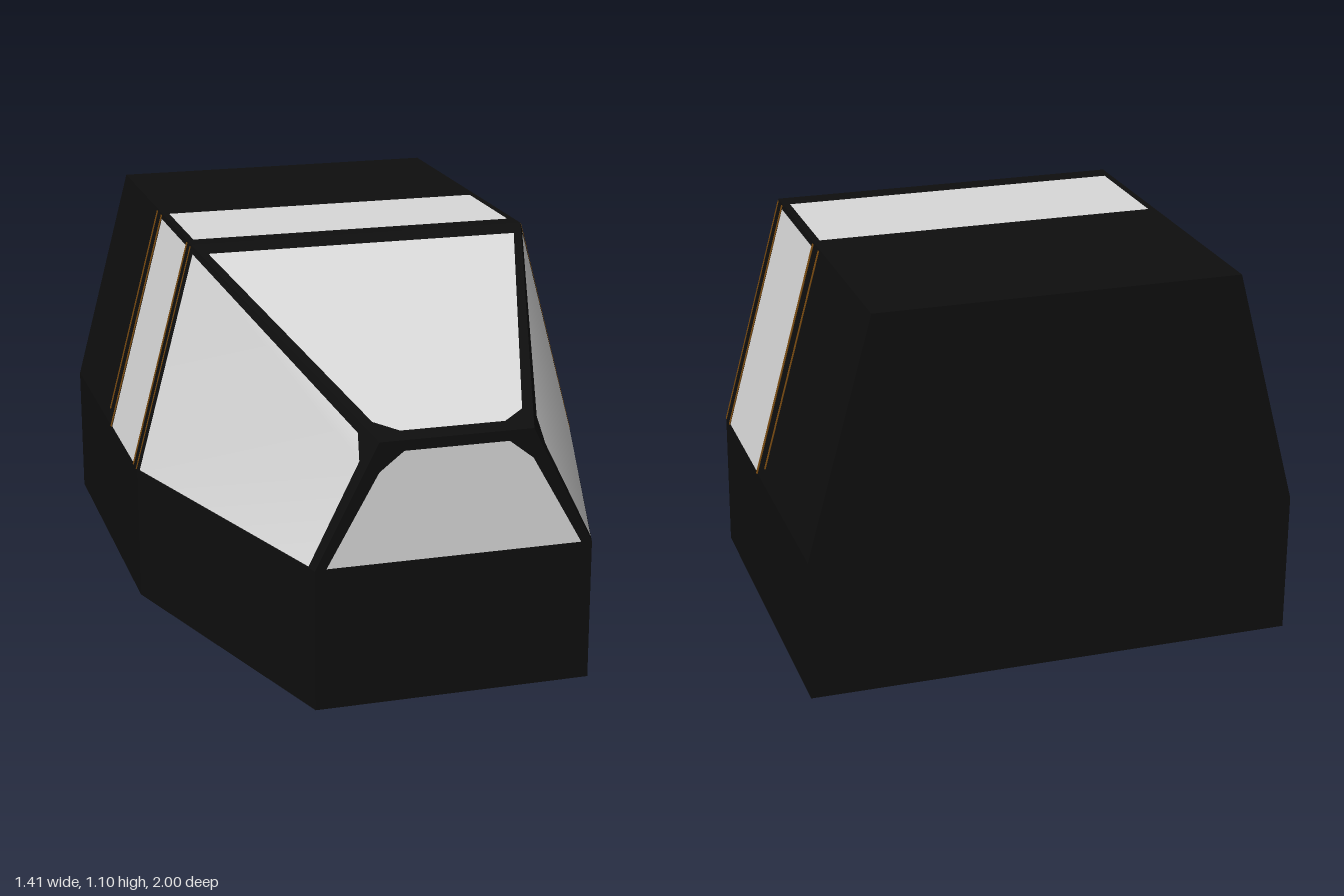
import * as THREE from 'three';

const W = 0.705, R = 0.52;            // half widths: belt line, roof
const NB = 0.4, NT = 0.22;            // half widths of the nose: belt line, top
const BELT = 0.41, ROOF = 1.1, NOSE = 0.76;
const BACK = -1, KINK = 0.05, FRONT = 0.995;

// x of the slanted side at a given z and height
function sideX(z, y) {
  const t = Math.max(0, (z - KINK) / (FRONT - KINK));
  const s = (y - BELT) / (ROOF + (NOSE - ROOF) * t - BELT);
  const low = W + (NB - W) * t, high = R + (NT - R) * t;
  return low + (high - low) * s;
}
const onSide = ([z, y]) => [sideX(z, y), y, z];
const onSlope = ([x, z]) => [x, ROOF + (NOSE - ROOF) * (z - KINK) / (FRONT - KINK), z];
const mirrored = (pts) => pts.map(([x, y, z]) => [-x, y, z]).reverse();

function mesh(name, positions, index, material) {
  const g = new THREE.BufferGeometry();
  g.setAttribute('position', new THREE.Float32BufferAttribute(positions.flat(), 3));
  g.setIndex(index);
  g.computeVertexNormals();
  const m = new THREE.Mesh(g, material);
  m.name = name;
  return m;
}

// Convex face, corners counter-clockwise from outside
function face(name, pts, material) {
  const index = [];
  for (let i = 1; i < pts.length - 1; i++) index.push(0, i, i + 1);
  return mesh(name, pts, index, material);
}

// Frame between an outer and an inner outline with matching corners
function frame(name, outer, inner, material) {
  const n = outer.length, index = [];
  for (let i = 0; i < n; i++) {
    const j = (i + 1) % n;
    if (outer[i].some((v, k) => v !== outer[j][k])) index.push(i, j, n + j);
    index.push(i, n + j, n + i);
  }
  return mesh(name, [...outer, ...inner], index, material);
}

export function createModel() {
  const black = new THREE.MeshStandardMaterial({ color: 0x0e0e0e, side: THREE.DoubleSide });
  black.name = 'black shell';
  const glass = new THREE.MeshStandardMaterial({ color: 0xd8d8d8, side: THREE.DoubleSide });
  glass.name = 'pale glass';
  const amber = new THREE.MeshStandardMaterial({ color: 0x7c4c10 });
  amber.name = 'amber trim';

  const model = new THREE.Group();
  model.name = 'cockpit';
  const window = (name, outer, inner) => {
    model.add(frame(name + 'Frame', outer, inner, black), face(name + 'Glass', inner, glass));
  };
  const windowPair = (name, outer, inner) => {
    window(name + 'Left', outer, inner);
    window(name + 'Right', mirrored(outer), mirrored(inner));
  };

  // Lower hull
  const plan = [[-W, BACK], [-W, KINK], [-NB, FRONT], [NB, FRONT], [W, KINK], [W, BACK]];
  for (let i = 0; i < plan.length - 1; i++) {
    const [[ax, az], [bx, bz]] = [plan[i], plan[i + 1]];
    model.add(face('hullWall', [[ax, 0, az], [bx, 0, bz], [bx, BELT, bz], [ax, BELT, az]], black));
  }
  model.add(face('hullFloor', plan.map(([x, z]) => [x, 0, z]).reverse(), black));

  // Back wall
  model.add(face('backWall', [[W, 0], [-W, 0], [-W, BELT], [-R, ROOF], [R, ROOF], [W, BELT]]
    .map(([x, y]) => [x, y, BACK]), black));

  // Roof with its skylight
  window('skylight',
    [[-R, ROOF, KINK], [R, ROOF, KINK], [R, ROOF, BACK], [-R, ROOF, BACK]],
    [[-0.5, ROOF, -0.015], [0.5, ROOF, -0.015], [0.5, ROOF, -0.375], [-0.5, ROOF, -0.375]]);

  // Sloping windscreen
  window('windscreen',
    [[-NT, FRONT], [-NT, FRONT], [NT, FRONT], [NT, FRONT], [R, KINK], [-R, KINK]].map(onSlope),
    [[-0.215, 0.91], [-0.15, 0.955], [0.15, 0.955], [0.215, 0.91], [0.48, 0.1], [-0.48, 0.1]].map(onSlope));

  // Upright nose window
  window('noseWindow',
    [[-NB, BELT], [NB, BELT], [NT, NOSE], [NT, NOSE], [-NT, NOSE], [-NT, NOSE]].map(([x, y]) => [x, y, FRONT]),
    [[-0.368, 0.413], [0.368, 0.413], [0.22, 0.675], [0.15, 0.73], [-0.15, 0.73], [-0.22, 0.675]]
      .map(([x, y]) => [x, y, FRONT]));

  // Tapering side windows and the rear side windows
  windowPair('sideWindow',
    [[FRONT, BELT], [KINK, BELT], [KINK, ROOF], [FRONT, NOSE], [FRONT, NOSE]].map(onSide),
    [[0.962, 0.413], [0.065, 0.413], [0.065, 1.075], [0.915, 0.765], [0.962, 0.7]].map(onSide));
  windowPair('rearSideWindow',
    [[KINK, BELT], [BACK, BELT], [BACK, ROOF], [KINK, ROOF]].map(onSide),
    [[-0.01, 0.413], [-0.375, 0.413], [-0.375, 1.085], [-0.01, 1.085]].map(onSide));

  // Thin amber strips on the slanted sides: z, width, lower end
  const strips = [[0.044, 0.004, 0.41], [-0.004, 0.008, 0.41], [-0.386, 0.01, 0.41], [-0.45, 0.008, 0.45]];
  const tilt = Math.atan2(W - R, ROOF - BELT);
  for (const s of [1, -1]) {
    for (const [z, width, low] of strips) {
      const y = (low + ROOF - 0.005) / 2;
      const strip = new THREE.Mesh(
        new THREE.BoxGeometry(0.005, (ROOF - 0.005 - low) / Math.cos(tilt), width), amber);
      strip.position.set(s * sideX(z, y), y, z);
      strip.rotation.z = s * tilt;
      strip.name = 'trimStrip';
      model.add(strip);
    }
  }
  return model;
}
